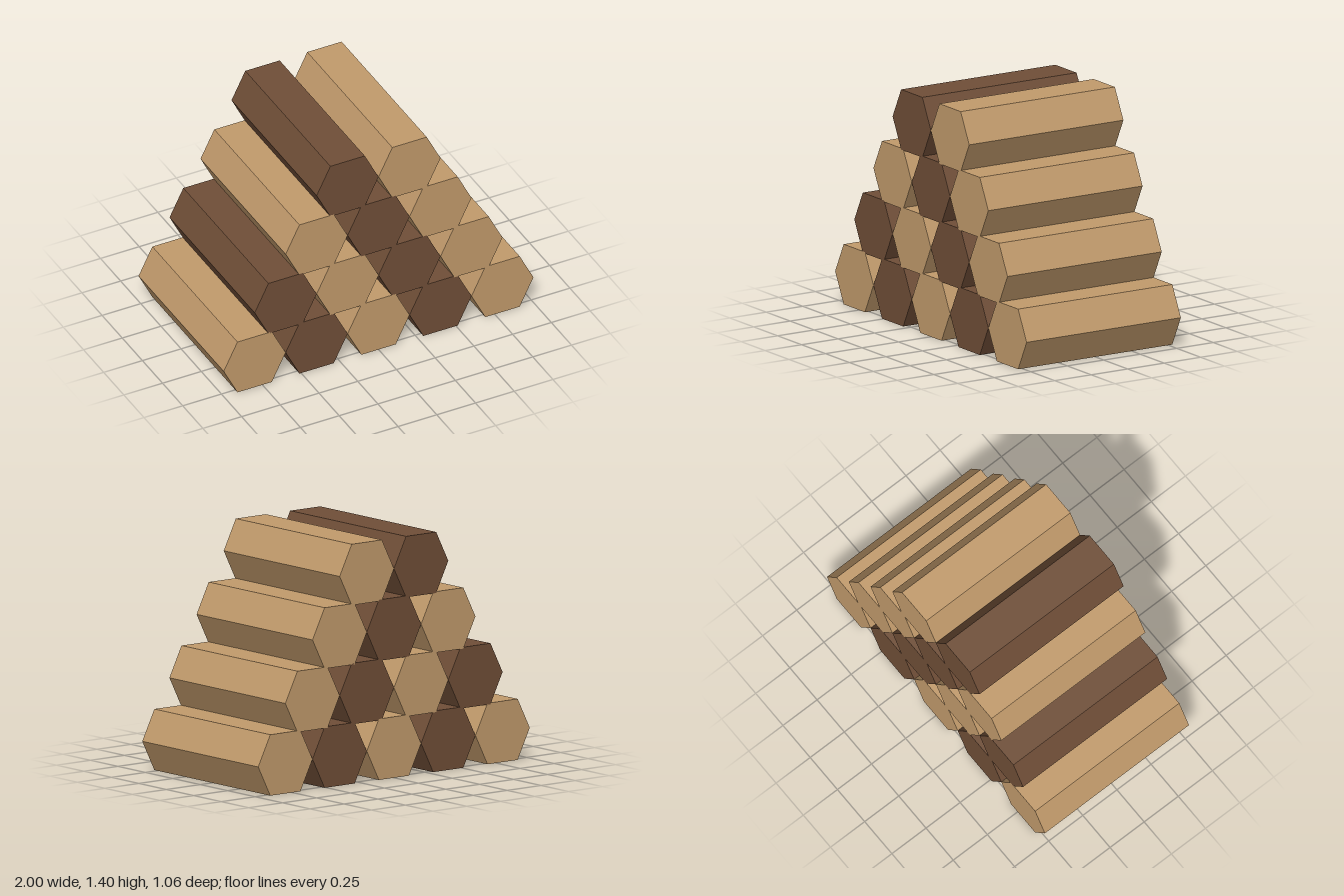
import * as THREE from 'three';

const LENGTH = 1.056;
const HALF_W = 0.2, HALF_FLAT = 0.111, HALF_H = 0.1775;
const PITCH_X = 0.4, PITCH_Y = 0.3467;

// Six-sided log running along z
function logGeometry() {
  const shape = new THREE.Shape([
    [HALF_W, 0], [HALF_FLAT, HALF_H], [-HALF_FLAT, HALF_H],
    [-HALF_W, 0], [-HALF_FLAT, -HALF_H], [HALF_FLAT, -HALF_H],
  ].map(([x, y]) => new THREE.Vector2(x, y)));
  const geometry = new THREE.ExtrudeGeometry(shape, { depth: LENGTH, bevelEnabled: false });
  return geometry.translate(0, 0, -LENGTH / 2);
}

export function createModel() {
  const lightWood = new THREE.MeshStandardMaterial({ name: 'lightWood', color: 0xc19a6b });
  const darkWood = new THREE.MeshStandardMaterial({ name: 'darkWood', color: 0x6f4e37 });

  const model = new THREE.Group();
  model.name = 'logPile';
  const geometry = logGeometry();

  // Rows of 5, 4, 3 and 2 logs, each nested above the gaps of the row below
  for (let row = 0; row < 4; row++) {
    const count = 5 - row;
    const layer = new THREE.Group();
    layer.name = `logRow${row + 1}`;
    layer.position.y = HALF_H + row * PITCH_Y;
    for (let i = 0; i < count; i++) {
      const log = new THREE.Mesh(geometry, (row + i) % 2 ? darkWood : lightWood);
      log.name = `log${i + 1}`;
      log.position.x = (i - (count - 1) / 2) * PITCH_X;
      layer.add(log);
    }
    model.add(layer);
  }
  return model;
}
